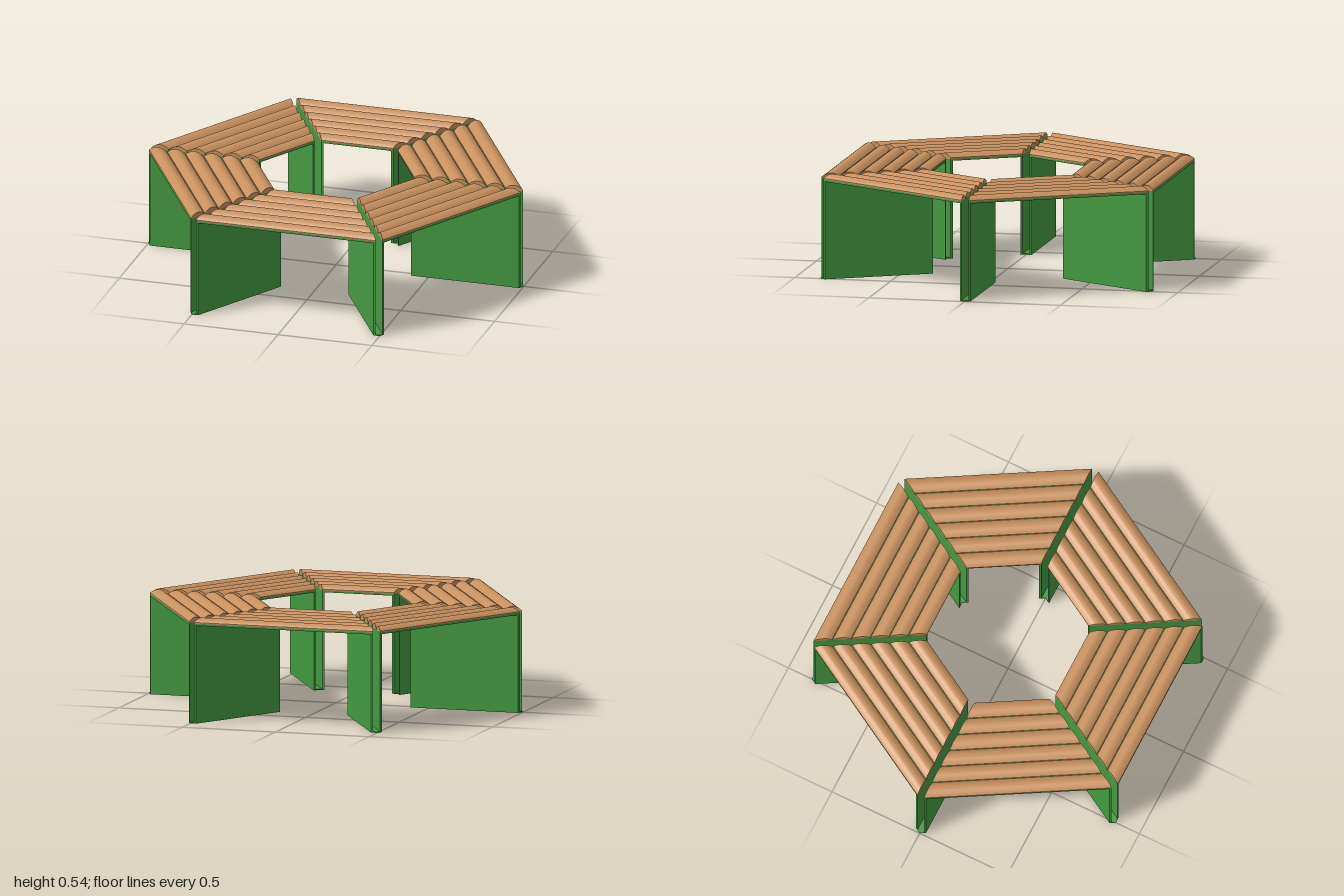
import * as THREE from 'three';
import { toCreasedNormals } from 'three/addons/utils/BufferGeometryUtils.js';

const IN = 0.368, OUT = 0.866;   // inner and outer distance of a segment from the centre
const GAP = 0.018, SHEET = 0.01; // half gap between segments, sheet thickness
const SEAT = 0.515, TOP = 0.541; // top of the steel, top of the slats

// Half length of a segment at distance a, kept d away from the mitre line
const half = (a, d) => a * Math.tan(Math.PI / 6) - d / Math.cos(Math.PI / 6);

// Plan outline of [x, z] points raised from y0 to y1
function plan(points, y0, y1) {
  const shape = new THREE.Shape(points.map(([x, z]) => new THREE.Vector2(x, -z)));
  const geo = new THREE.ExtrudeGeometry(shape, { depth: y1 - y0, bevelEnabled: false });
  return geo.rotateX(-Math.PI / 2).translate(0, y0, 0);
}

// Strip along one mitre line, between offsets d0 and d1
function mitreStrip(side, d0, d1, y0, y1) {
  return plan([[IN, d0], [OUT, d0], [OUT, d1], [IN, d1]].map(([a, d]) => [side * half(a, d), a]), y0, y1);
}

// Domed slat with mitred ends
function slatGeometry(a0, a1) {
  const mid = (a0 + a1) / 2, edge = SEAT + 0.006, ctrl = TOP * 2 - edge;
  const s = new THREE.Shape();
  s.moveTo(a0, SEAT);
  s.lineTo(a1, SEAT);
  s.lineTo(a1, edge);
  s.quadraticCurveTo(mid, ctrl, a0, edge);
  s.closePath();
  const geo = new THREE.ExtrudeGeometry(s, { depth: 1, bevelEnabled: false, curveSegments: 14 });
  const p = geo.attributes.position;
  for (let i = 0; i < p.count; i++) {
    const a = p.getX(i);
    p.setXYZ(i, (1 - 2 * p.getZ(i)) * half(a, GAP), p.getY(i), a);
  }
  return toCreasedNormals(geo, 0.7);
}

export function createModel() {
  const wood = new THREE.MeshStandardMaterial({ color: 0xc8905f });
  wood.name = 'wood';
  const steel = new THREE.MeshStandardMaterial({ color: 0x439a41 });
  steel.name = 'green steel';

  const parts = [];
  const part = (name, geo, mat) => parts.push({ name, geo, mat });

  // Steel seat plate
  const plate = [[-1, IN], [1, IN], [1, OUT], [-1, OUT]].map(([s, a]) => [s * half(a, GAP), a]);
  part('seatPlate', plan(plate, SEAT - SHEET, SEAT), steel);

  // Folded legs, joined to the neighbouring segment by a thin foot
  for (const [side, label] of [[1, 'left'], [-1, 'right']]) {
    part(label + 'Leg', mitreStrip(side, GAP, GAP + SHEET, 0, SEAT - SHEET), steel);
    part(label + 'Foot', mitreStrip(side, 0, GAP, 0, 0.005), steel);
  }

  // Six wooden slats
  const first = 0.366, pitch = 0.084;
  for (let i = 0; i < 6; i++) {
    const a = first + i * pitch;
    part('slat' + (i + 1), slatGeometry(a, a + pitch - 0.004), wood);
  }

  // Six segments around the centre
  const bench = new THREE.Group();
  bench.name = 'hexagonalBench';
  for (let k = 0; k < 6; k++) {
    const segment = new THREE.Group();
    segment.name = 'segment' + (k + 1);
    for (const { name, geo, mat } of parts) {
      const mesh = new THREE.Mesh(geo, mat);
      mesh.name = name;
      segment.add(mesh);
    }
    segment.rotation.y = k * Math.PI / 3;
    bench.add(segment);
  }
  return bench;
}
